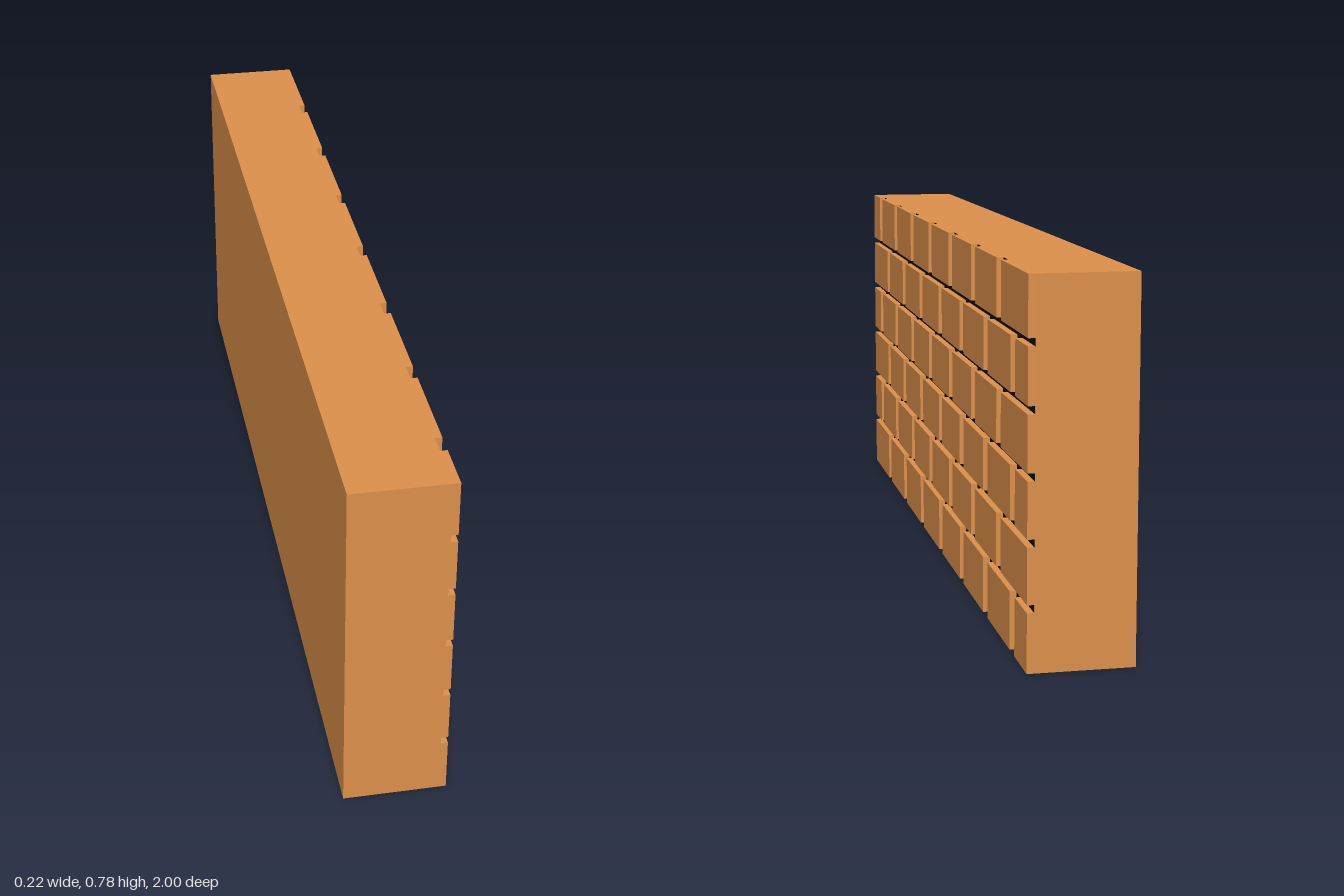
import * as THREE from 'three';

const LENGTH = 2, HEIGHT = 0.782, FRONT = 0.11, FLOOR = 0.095; // brick face and groove floor in x
const ROWS = 6, PITCH = HEIGHT / ROWS, BED = 0.016;            // courses and horizontal grooves
const JOINT = 0.044, BRICK = LENGTH / 7.5;                     // vertical grooves and their spacing

export function createModel() {
  const group = new THREE.Group();
  const clay = new THREE.MeshStandardMaterial({ color: 0xde914b });
  const black = new THREE.MeshStandardMaterial({ color: 0x0c0c0c });

  // Solid wall behind the bricks
  const body = new THREE.Mesh(new THREE.BoxGeometry(FLOOR + FRONT, HEIGHT, LENGTH), clay);
  body.name = 'wallBody';
  body.position.set((FLOOR - FRONT) / 2, HEIGHT / 2, 0);
  group.add(body);

  // Dark mortar on the groove floor
  const mortar = new THREE.Mesh(new THREE.PlaneGeometry(LENGTH, HEIGHT), black);
  mortar.name = 'mortar';
  mortar.rotation.y = Math.PI / 2;
  mortar.position.set(FLOOR + 0.0005, HEIGHT / 2, 0);
  group.add(mortar);

  // Running-bond bricks, every other course shifted by half a brick
  const bricks = new THREE.Group();
  bricks.name = 'bricks';
  for (let row = 0; row < ROWS; row++) {
    const y0 = row === 0 ? 0 : row * PITCH + BED / 2;
    const y1 = row === ROWS - 1 ? HEIGHT : (row + 1) * PITCH - BED / 2;
    const firstJoint = -1 + BRICK * (row % 2 ? 1 : 0.5);
    let start = -1;
    for (let i = 0; i <= 7; i++) {
      const joint = firstJoint + i * BRICK;
      const end = i === 7 ? 1 : joint - JOINT / 2;
      const brick = new THREE.Mesh(new THREE.BoxGeometry(FRONT - FLOOR, y1 - y0, end - start), clay);
      brick.name = `brick_${row}_${i}`;
      brick.position.set((FRONT + FLOOR) / 2, (y0 + y1) / 2, (start + end) / 2);
      bricks.add(brick);
      start = joint + JOINT / 2;
    }
  }
  group.add(bricks);
  return group;
}
